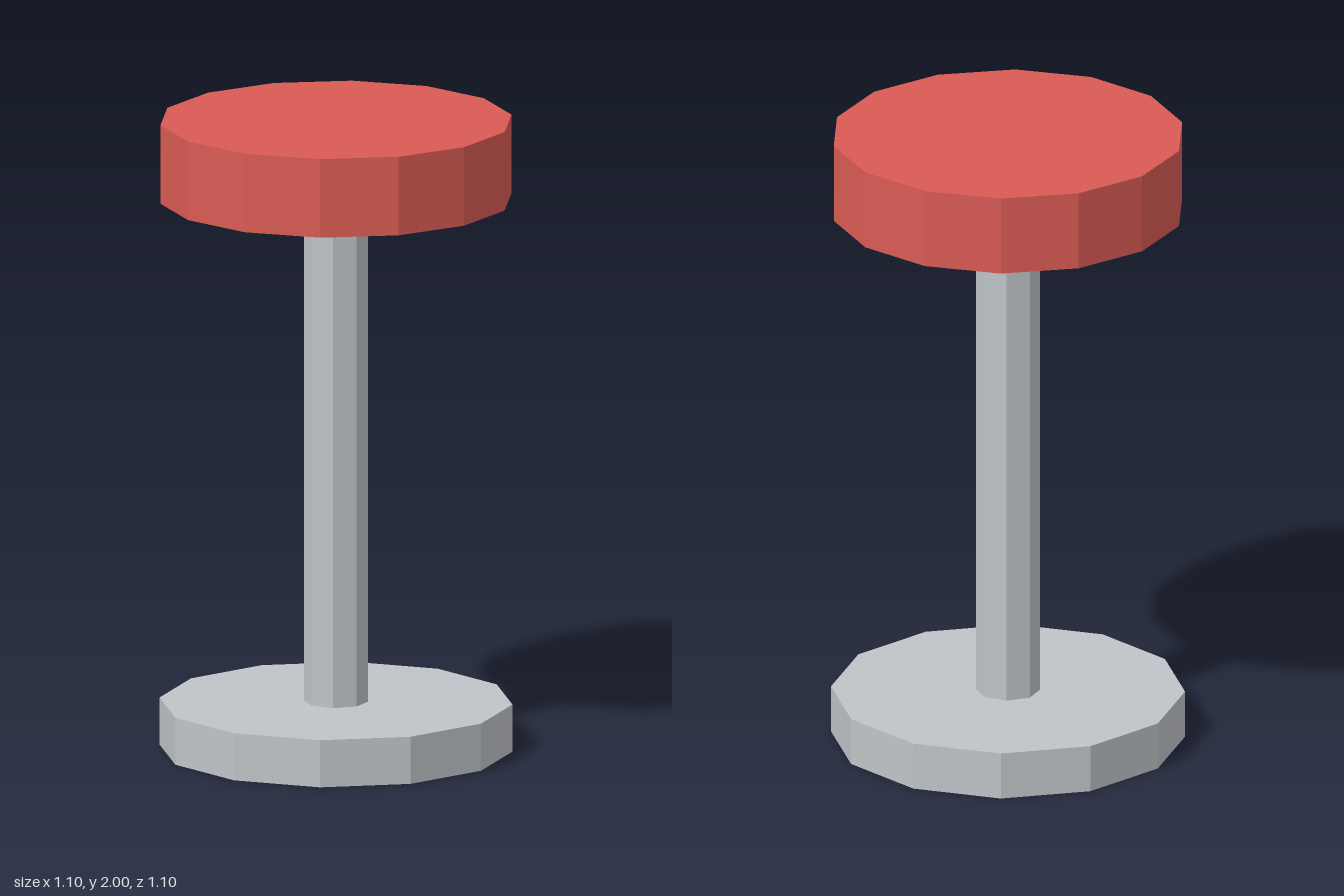
import * as THREE from 'three';

export function createModel() {
  const model = new THREE.Group();
  model.name = 'barStool';

  const metal = new THREE.MeshStandardMaterial({ color: 0xc0c4c8, flatShading: true });
  metal.name = 'greyMetal';
  const cushion = new THREE.MeshStandardMaterial({ color: 0xd95b54, flatShading: true });
  cushion.name = 'redCushion';

  // Upright faceted disc or post between two heights, with a corner on the z axis
  function addPrism(name, radius, bottom, top, sides, material) {
    const geometry = new THREE.CylinderGeometry(radius, radius, top - bottom, sides);
    const mesh = new THREE.Mesh(geometry, material);
    mesh.name = name;
    mesh.position.y = (bottom + top) / 2;
    model.add(mesh);
  }

  addPrism('base', 0.55, 0, 0.15, 12, metal);
  addPrism('post', 0.1, 0.15, 1.75, 8, metal);
  addPrism('seat', 0.55, 1.75, 2, 14, cushion);

  return model;
}
